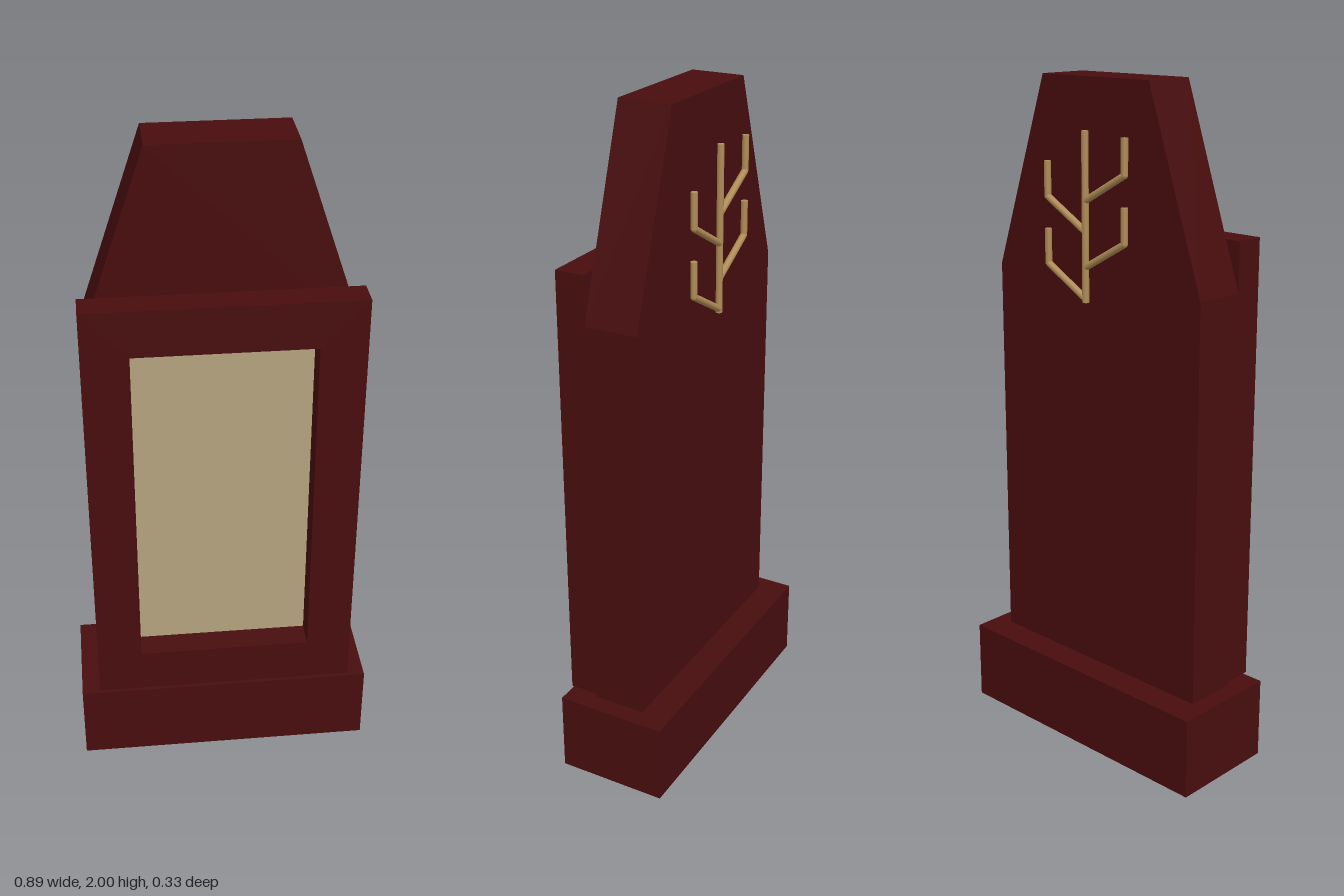
import * as THREE from 'three';

export function createModel() {
  const model = new THREE.Group();
  model.name = 'monument';

  const stone = new THREE.MeshStandardMaterial({ color: 0x480d0e });
  stone.name = 'dark red stone';
  const cream = new THREE.MeshStandardMaterial({ color: 0xb3a27e });
  cream.name = 'cream panel';
  const bronze = new THREE.MeshStandardMaterial({ color: 0xb08d57 });
  bronze.name = 'bronze';

  const add = (name, geometry, material, parent = model) => {
    const mesh = new THREE.Mesh(geometry, material);
    mesh.name = name;
    parent.add(mesh);
    return mesh;
  };
  const outline = (points) => points.map(([x, y]) => new THREE.Vector2(x, y));
  const extrude = (shape, depth, z) =>
    new THREE.ExtrudeGeometry(shape, { depth, bevelEnabled: false }).translate(0, 0, z);

  // Plinth
  add('base', new THREE.BoxGeometry(0.89, 0.245, 0.333).translate(0, 0.1325, 0), stone);

  // Upright slab with tapered top
  const slab = new THREE.Shape(outline([
    [-0.39, 0], [0.39, 0], [0.39, 1.44], [0.2, 2], [-0.2, 2], [-0.39, 1.44],
  ]));
  add('slab', extrude(slab, 0.158, -0.079), stone);

  // Raised frame around the front panel
  const frame = new THREE.Shape(outline([
    [-0.39, 0.265], [0.39, 0.265], [0.39, 1.582], [-0.39, 1.582],
  ]));
  frame.holes.push(new THREE.Path(outline([
    [-0.257, 0.403], [-0.257, 1.443], [0.257, 1.443], [0.257, 0.403],
  ])));
  add('frame', extrude(frame, 0.086, 0.079), stone);

  // Inset panel
  add('panel', new THREE.BoxGeometry(0.514, 1.04, 0.006).translate(0, 0.923, 0.082), cream);

  // Branch ornament standing off the back
  const ornament = new THREE.Group();
  ornament.name = 'branchOrnament';
  ornament.position.z = -0.115;
  model.add(ornament);

  const radius = 0.01;
  const up = new THREE.Vector3(0, 1, 0);
  const rod = (name, [x1, y1], [x2, y2]) => {
    const a = new THREE.Vector3(x1, y1, 0);
    const b = new THREE.Vector3(x2, y2, 0);
    const dir = b.clone().sub(a);
    const mesh = add(name, new THREE.CylinderGeometry(radius, radius, dir.length(), 8), bronze, ornament);
    mesh.position.copy(a).add(b).multiplyScalar(0.5);
    mesh.quaternion.setFromUnitVectors(up, dir.normalize());
  };

  rod('stem', [0, 1.385], [0, 1.86]);
  // Alternating twigs: side, height on the stem
  for (const [side, y] of [[1, 1.395], [1, 1.585], [-1, 1.485], [-1, 1.67]]) {
    const elbow = [side * 0.148, y + 0.083];
    rod('twig', [0, y], elbow);
    rod('twigTip', elbow, [elbow[0], y + 0.182]);
    add('twigElbow', new THREE.SphereGeometry(radius, 8, 6).translate(elbow[0], elbow[1], 0), bronze, ornament);
  }

  return model;
}
